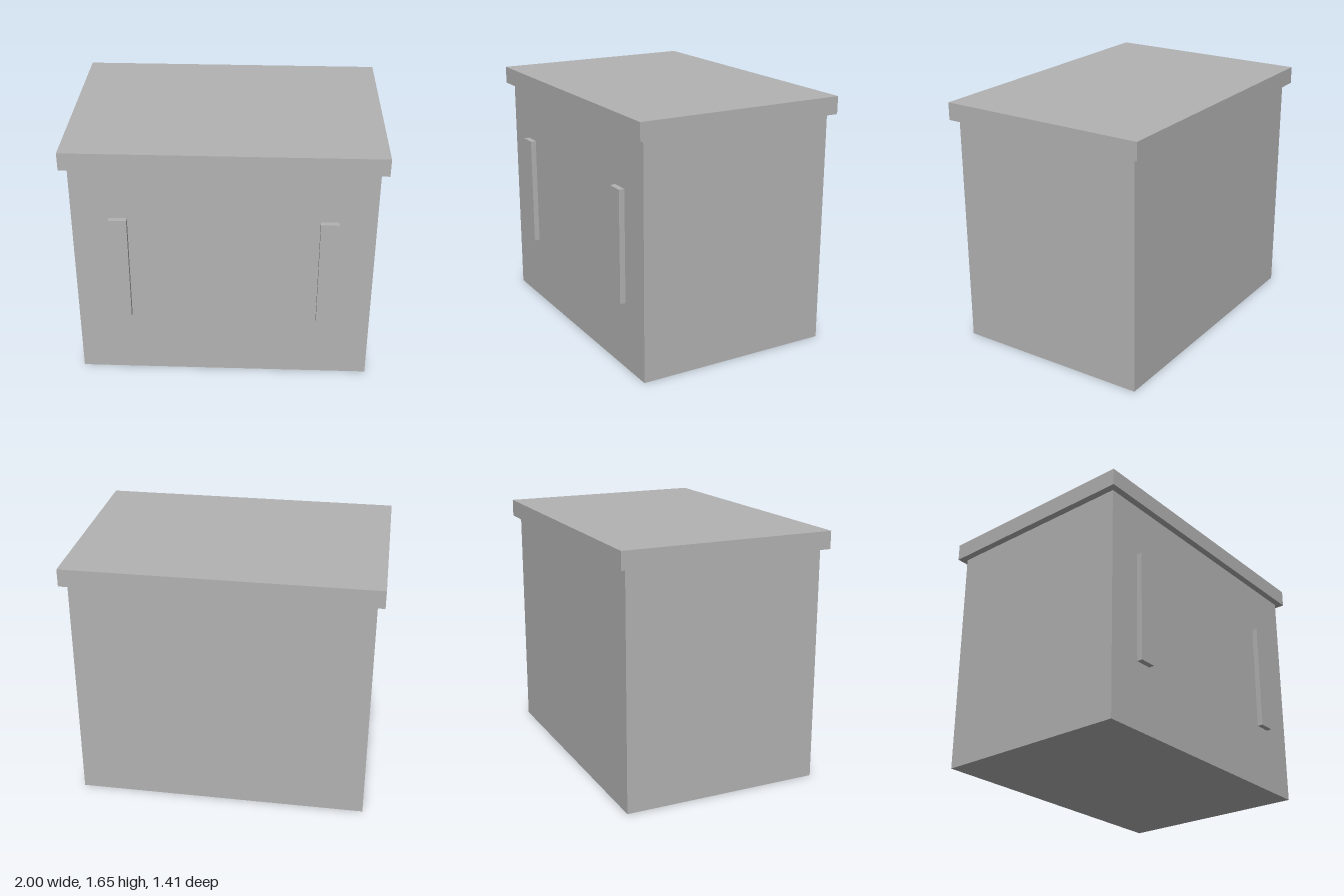
import * as THREE from 'three';

export function createModel() {
  const model = new THREE.Group();
  model.name = 'cabinet';

  const grey = new THREE.MeshStandardMaterial({ color: 0xb2b2b2 });
  grey.name = 'grey';

  // Box given by its size, the height of its underside and its centre
  function addBox(name, width, height, depth, x, bottom, z) {
    const mesh = new THREE.Mesh(new THREE.BoxGeometry(width, height, depth), grey);
    mesh.name = name;
    mesh.position.set(x, bottom + height / 2, z);
    model.add(mesh);
  }

  // Carcass and overhanging top
  addBox('body', 1.91, 1.535, 1.322, 0, 0, 0);
  addBox('top', 2, 0.115, 1.41, 0, 1.535, 0);

  // Pair of upright door handles on the front
  for (const side of [-1, 1]) {
    addBox(side > 0 ? 'leftHandle' : 'rightHandle', 0.115, 0.738, 0.037, side * 0.662, 0.442, 0.6795);
  }

  return model;
}
